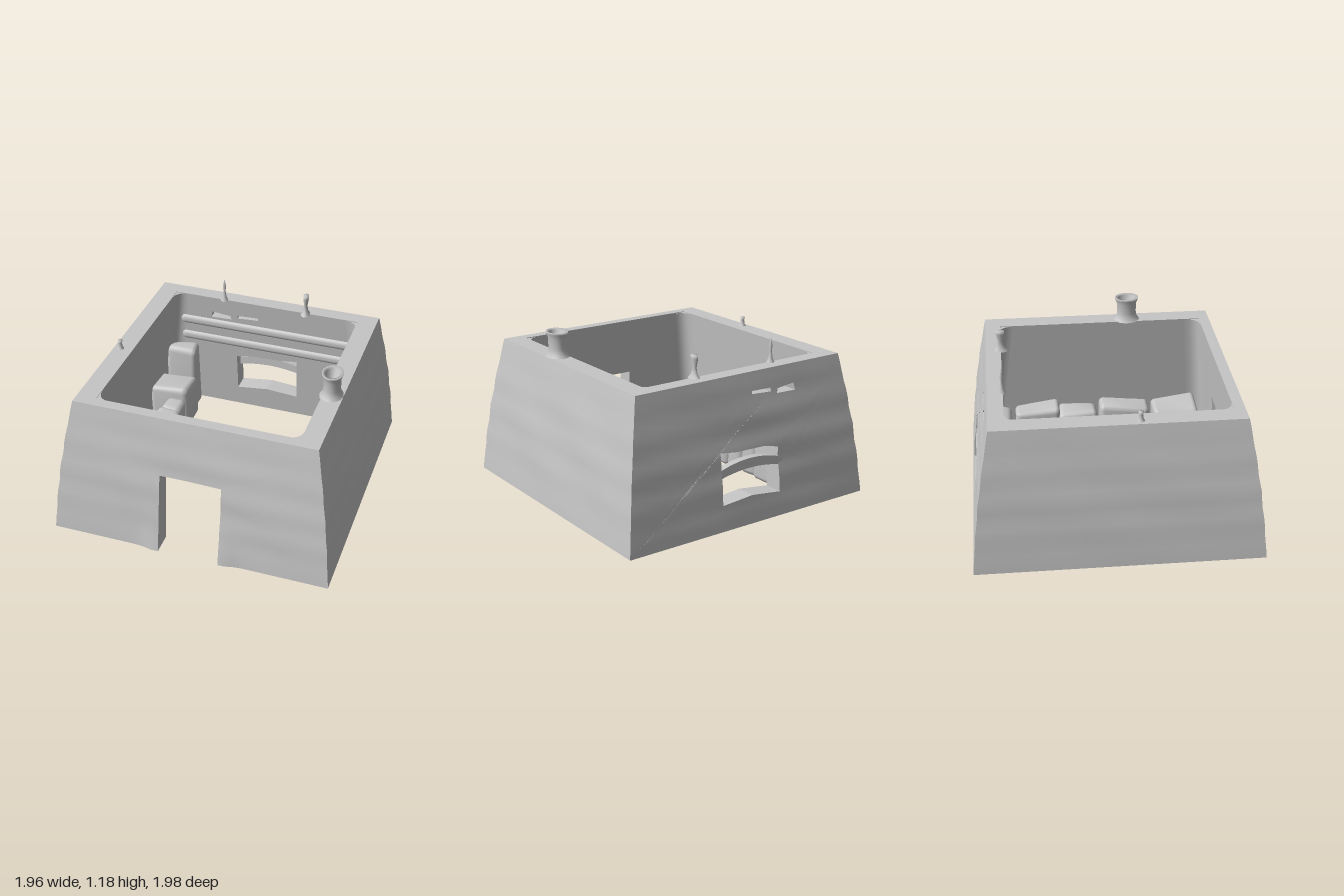
import * as THREE from 'three';
import { RoundedBoxGeometry } from 'three/addons/geometries/RoundedBoxGeometry.js';
import { toCreasedNormals } from 'three/addons/utils/BufferGeometryUtils.js';

const lerp = THREE.MathUtils.lerp;
const stone = new THREE.MeshStandardMaterial({ color: 0xc6c6c6 });
stone.name = 'pale stone';
stone.side = THREE.DoubleSide;

// Sloping shell faces: [bottom, top] distance from the centre; the outside bulges a little
const OUT = { x: [0.98, 0.838], f: [0.97, 0.826], b: [0.99, 0.848] };
const INN = { x: [0.82, 0.70], f: [0.83, 0.75], b: [0.86, 0.74] };
const bulge = y => 0.015 * Math.sin(Math.PI * y) + 0.003 * Math.sin(28 * y) * Math.sin(Math.PI * y);
const reach = (k, y, t) => lerp(lerp(...INN[k], y), lerp(...OUT[k], y) + bulge(y), t);

function add(parent, name, geometry, x = 0, y = 0, z = 0) {
  const mesh = new THREE.Mesh(geometry, stone);
  mesh.name = name;
  mesh.position.set(x, y, z);
  parent.add(mesh);
  return mesh;
}

const poly = (pts, T = THREE.Shape) => new T(pts.map(p => new THREE.Vector2(...p)));

// Split every triangle into four, a number of times
function subdivide(geometry, levels) {
  let tri = Array.from(geometry.attributes.position.array);
  for (let n = 0; n < levels; n++) {
    const next = [];
    for (let i = 0; i < tri.length; i += 9) {
      const [a, b, c] = [0, 3, 6].map(k => tri.slice(i + k, i + k + 3));
      const mid = (p, q) => p.map((v, k) => (v + q[k]) / 2);
      const ab = mid(a, b), bc = mid(b, c), ca = mid(c, a);
      next.push(...a, ...ab, ...ca, ...ab, ...b, ...bc, ...ca, ...bc, ...c, ...ab, ...bc, ...ca);
    }
    tri = next;
  }
  return new THREE.BufferGeometry().setAttribute('position', new THREE.Float32BufferAttribute(tri, 3));
}

// A mitred, leaning wall: shape is (along, height), extrusion runs inside to outside
function wall(side, outline, holes = []) {
  const shape = poly(outline);
  holes.forEach(h => shape.holes.push(poly(h, THREE.Path)));
  const geo = subdivide(new THREE.ExtrudeGeometry(shape, { depth: 1, bevelEnabled: false }), 4);
  const p = geo.attributes.position;
  const ends = { front: ['x', 'x', 'f'], back: ['x', 'x', 'b'], left: ['b', 'f', 'x'], right: ['f', 'b', 'x'] }[side];
  for (let i = 0; i < p.count; i++) {
    const u = p.getX(i), y = p.getY(i), t = p.getZ(i), a = Math.abs(u);
    const end = reach(u > 0 ? ends[0] : ends[1], y, t);
    const s = Math.sign(u) * (a <= 0.5 ? a : lerp(0.5, end, (a - 0.5) / 0.5));
    // gentle unevenness that fades out at the corners and the rims
    let d = reach(ends[2], y, t) + 0.005 * t * Math.sin(7 * u + 9 * y) * (1 - u * u) * Math.sin(Math.PI * y);
    // flared feet beside the doorway
    if (side === 'front') d += 0.022 * t * Math.exp(-(((a - 0.24) / 0.07) ** 2)) * Math.max(0, 1 - y / 0.3);
    if (side === 'front') p.setXYZ(i, s, y, d);
    if (side === 'back') p.setXYZ(i, -s, y, -d);
    if (side === 'left') p.setXYZ(i, d, y, -s);
    if (side === 'right') p.setXYZ(i, -d, y, s);
  }
  return toCreasedNormals(geo, 0.6);
}

// Concave fillet in an inner corner, following the slope of the walls
function cornerFillet(sx, k, r) {
  const sz = k === 'f' ? 1 : -1;
  const s = new THREE.Shape();
  s.moveTo(0.03, 0.03);
  s.lineTo(0.03, -r);
  s.lineTo(0, -r);
  s.quadraticCurveTo(0, 0, -r, 0);
  s.lineTo(-r, 0.03);
  const geo = new THREE.ExtrudeGeometry(s, { depth: 0.99, bevelEnabled: false, curveSegments: 8 });
  const p = geo.attributes.position;
  for (let i = 0; i < p.count; i++) {
    const y = p.getZ(i) + 0.01;
    p.setXYZ(i, sx * (reach('x', y, 0) + p.getX(i)), y, sz * (reach(k, y, 0) + p.getY(i)));
  }
  return toCreasedNormals(geo, 0.6);
}

const lathe = (pts, n = 10) => new THREE.LatheGeometry(pts.map(p => new THREE.Vector2(...p)), n);

export function createModel() {
  const model = new THREE.Group();
  model.name = 'roofless stone house';

  // Walls
  const full = [[-1, 0.005], [1, 0.005], [1, 1.005], [-1, 1.005]];
  add(model, 'leftWall', wall('left', full));
  add(model, 'rightWall', wall('right', full));
  add(model, 'frontWall', wall('front', [[-1, 0.005], [-0.21, 0.005], [-0.21, 0.59],
    [0.22, 0.59], [0.22, 0.005], [1, 0.005], [1, 1.005], [-1, 1.005]]));
  const windowHole = [[-0.24, 0.18], [0, 0.2], [0.24, 0.17], [0.24, 0.48], [0.12, 0.505], [-0.1, 0.51], [-0.24, 0.53]];
  const slotA = [[0.06, 0.86], [0.22, 0.85], [0.22, 0.875], [0.06, 0.88]];
  const slotB = [[0.27, 0.83], [0.43, 0.825], [0.42, 0.875], [0.28, 0.86]];
  add(model, 'backWall', wall('back', full, [windowHole, slotA, slotB]));
  for (const sx of [-1, 1]) {
    add(model, 'frontCorner', cornerFillet(sx, 'f', 0.11));
    add(model, 'backCorner', cornerFillet(sx, 'b', 0.09));
  }

  // Arched bar across the back window
  const bar = new THREE.Shape();
  bar.moveTo(-0.28, 0.345);
  bar.quadraticCurveTo(0, 0.425, 0.28, 0.345);
  bar.lineTo(0.28, 0.40);
  bar.quadraticCurveTo(0, 0.505, -0.28, 0.40);
  add(model, 'windowBar', new THREE.ExtrudeGeometry(bar, { depth: 0.05, bevelEnabled: false, curveSegments: 16 }), 0, 0, -0.945);

  // Ledges along the inside of the back wall
  for (const [y, z] of [[0.77, -0.785], [0.62, -0.805]]) {
    add(model, 'innerLedge', new RoundedBoxGeometry(1.36, 0.08, 0.08, 3, 0.035), 0, y, z);
  }

  // Rough blocks along the inside walls: x range, z range, height
  const blocks = [
    [-0.80, -0.50, -0.64, -0.37, 0.34], [-0.66, -0.51, -0.38, -0.22, 0.27],
    [-0.67, -0.50, -0.23, -0.07, 0.30], [-0.69, -0.50, -0.08, 0.12, 0.26],
    [-0.80, -0.50, 0.13, 0.30, 0.28], [-0.78, -0.50, 0.35, 0.54, 0.24],
    [0.64, 0.82, -0.65, -0.31, 0.30], [0.63, 0.82, -0.32, -0.02, 0.26],
    [0.625, 0.82, 0.00, 0.38, 0.30], [0.54, 0.82, 0.41, 0.75, 0.30],
    [-0.78, -0.54, -0.82, -0.67, 0.50], [0.53, 0.78, -0.82, -0.68, 0.30],
  ];
  blocks.forEach(([x0, x1, z0, z1, h], n) => {
    const geo = new RoundedBoxGeometry(x1 - x0, h, z1 - z0, 4, 0.04);
    const p = geo.attributes.position;
    for (let i = 0; i < p.count; i++) {
      const x = p.getX(i), y = p.getY(i), z = p.getZ(i);
      const lift = y > 0 ? 1 + 0.15 * Math.sin(9 * z + 7 * x + 2 * n) : 1;
      p.setXYZ(i, x + 0.008 * Math.sin(20 * z + 9 * y + n), y * lift, z);
    }
    add(model, 'innerBlock', toCreasedNormals(geo, 0.7), (x0 + x1) / 2, 0.01 + h / 2, (z0 + z1) / 2);
  });

  // Chimney and small finials on the wall tops
  const chimney = lathe([[0.082, 0], [0.064, 0.025], [0.058, 0.06], [0.058, 0.13], [0.07, 0.165], [0.072, 0.18],
    [0.05, 0.172], [0.038, 0.08], [0, 0.07]], 18);
  chimney.scale(1, 1, 1.22);
  add(model, 'chimney', chimney, 0.757, 1, 0.21);
  add(model, 'shortFinial', lathe([[0.03, 0], [0.017, 0.02], [0.013, 0.05], [0.018, 0.07], [0, 0.07]]), -0.79, 1, 0.13);
  add(model, 'spikeFinial', lathe([[0.03, 0], [0.016, 0.03], [0.008, 0.08], [0.012, 0.12], [0, 0.175]]), -0.32, 1, -0.745);
  const knob = lathe([[0.035, 0], [0.018, 0.03], [0.012, 0.07], [0.02, 0.13], [0.02, 0.155], [0, 0.15]]);
  knob.scale(1, 1, 1.5);
  add(model, 'knobFinial', knob, 0.31, 1, -0.74);

  return model;
}
